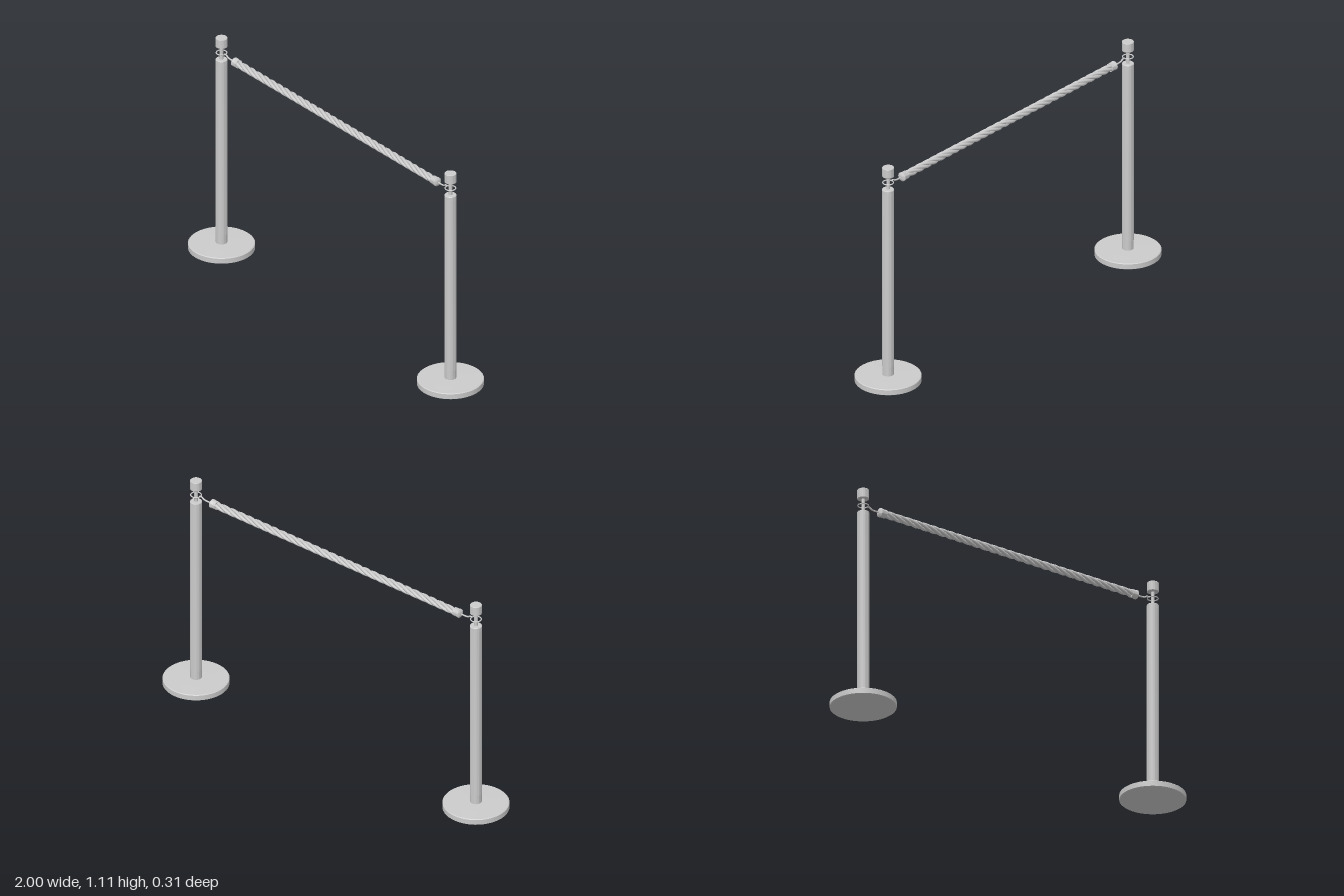
import * as THREE from 'three';
import { toCreasedNormals } from 'three/addons/utils/BufferGeometryUtils.js';

const POST_X = 0.843;
const ROPE_Y = 1.025;
const material = new THREE.MeshStandardMaterial({ color: 0xcccccc });

function add(parent, name, geometry) {
  const mesh = new THREE.Mesh(geometry, material);
  mesh.name = name;
  parent.add(mesh);
  return mesh;
}

// Turned solid from [radius, height] points, with crisp edges
function turned(points, sides) {
  const profile = points.map(([r, y]) => new THREE.Vector2(r, y));
  return toCreasedNormals(new THREE.LatheGeometry(profile, sides), 0.6);
}

// One stand with its hook; the rope leaves it toward +x
function makeStand() {
  const stand = new THREE.Group();
  add(stand, 'base', turned([[0, 0], [0.152, 0], [0.156, 0.003], [0.156, 0.028], [0.152, 0.031],
    [0.09, 0.032], [0, 0.034]], 48));
  add(stand, 'lowerCollar', turned([[0, 0.03], [0.027, 0.03], [0.027, 0.08], [0, 0.08]], 32));
  add(stand, 'post', turned([[0, 0.079], [0.0285, 0.079], [0.0285, 0.977], [0, 0.977]], 32));
  add(stand, 'upperCollar', turned([[0, 0.977], [0.0285, 0.977], [0.0285, 0.997], [0.026, 1], [0, 1]], 32));
  add(stand, 'neck', turned([[0, 0.99], [0.0085, 0.99], [0.0085, 1.07], [0, 1.07]], 20));
  add(stand, 'knob', turned([[0, 1.066], [0.0265, 1.066], [0.028, 1.068], [0.028, 1.111],
    [0.0265, 1.113], [0, 1.113]], 32));

  // Wire ring around the neck
  const ring = add(stand, 'ring', new THREE.TorusGeometry(0.025, 0.003, 8, 32));
  ring.rotation.x = Math.PI / 2;
  ring.position.y = 1.033;

  // Bent wire from the ring to the rope end
  const wire = new THREE.CatmullRomCurve3([
    [0.022, 1.033], [0.034, 1.035], [0.046, 1.028], [0.06, ROPE_Y], [0.095, ROPE_Y],
  ].map(([x, y]) => new THREE.Vector3(x, y, 0)));
  add(stand, 'hook', new THREE.TubeGeometry(wire, 24, 0.004, 8));

  // Flared ferrule closing the rope
  const ferrule = add(stand, 'ferrule', turned([[0, 0], [0.007, 0], [0.015, 0.003], [0.022, 0.008],
    [0.022, 0.015], [0.0205, 0.018], [0.0205, 0.04], [0, 0.04]], 24));
  ferrule.rotation.z = -Math.PI / 2;
  ferrule.position.set(0.088, ROPE_Y, 0);
  return stand;
}

class Helix extends THREE.Curve {
  constructor(phase) {
    super();
    this.phase = phase;
  }
  getPoint(t, target = new THREE.Vector3()) {
    const x = -0.735 + 1.47 * t;
    const angle = this.phase + (x / 0.2) * Math.PI * 2;
    return target.set(x, 0.0108 * Math.cos(angle), 0.0108 * Math.sin(angle));
  }
}

export function createModel() {
  const model = new THREE.Group();
  model.name = 'ropeBarrier';

  for (const side of [-1, 1]) {
    const stand = makeStand();
    stand.name = side < 0 ? 'rightStand' : 'leftStand';
    stand.position.x = side * POST_X;
    if (side > 0) stand.rotation.y = Math.PI;
    model.add(stand);
  }

  // Rope of four twisted strands
  const rope = new THREE.Group();
  rope.name = 'rope';
  rope.position.y = ROPE_Y;
  for (let i = 0; i < 4; i++) {
    add(rope, 'strand', new THREE.TubeGeometry(new Helix((i * Math.PI) / 2), 240, 0.0083, 10));
  }
  model.add(rope);
  return model;
}
